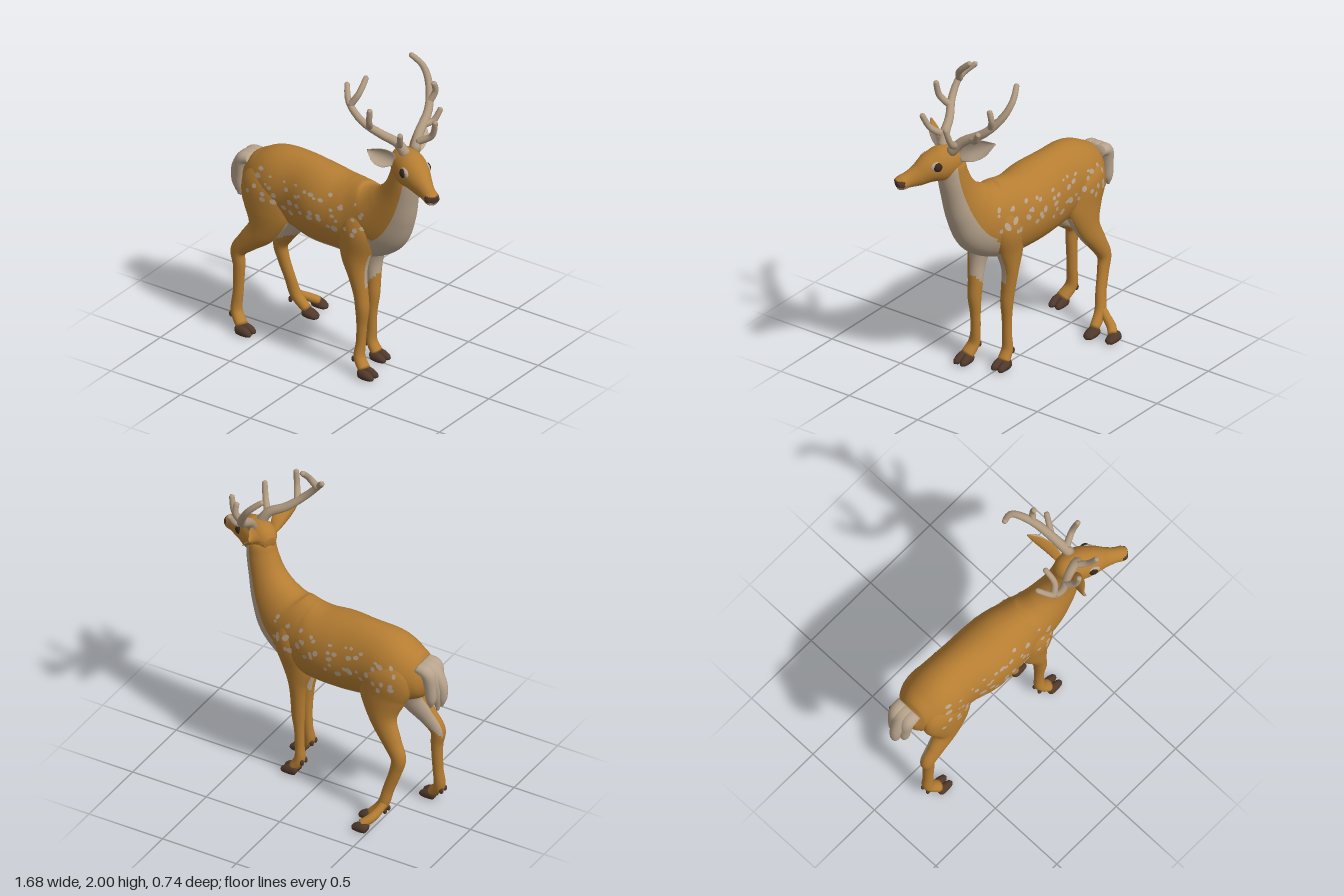
import * as THREE from 'three';

const V = (x, y, z) => new THREE.Vector3(x, y, z);
const mat = (name, color) => {
  const m = new THREE.MeshStandardMaterial({ color });
  m.name = name;
  return m;
};

export function createModel() {
  const model = new THREE.Group();
  model.name = 'deer';
  const tan = mat('tan coat', 0xb57d32);
  const cream = mat('cream fur', 0xb8a48d);
  const dark = mat('dark hoof and nose', 0x50392b);
  const antlerMat = mat('antler', 0xb09a80);
  const eyeMat = mat('eye', 0x35271b);
  const coat = [tan, cream, dark];

  // Smooth loft through sections [x, y, z, radius across, radius sideways].
  // paint(c, s, p) gives the colour index of a face from its place on the section.
  function loft(name, pts, material, { rings = 24, sides = 16, ref = V(0, 0, 1), cup = 0, paint } = {}) {
    const path = new THREE.CatmullRomCurve3(pts.map(p => V(p[0], p[1], p[2])));
    const size = new THREE.CatmullRomCurve3(pts.map(p => V(p[3], p[4], 0)), false, 'catmullrom', 0.5);
    const pos = [], faces = [[], [], []];
    for (let i = 0; i <= rings; i++) {
      const t = i / rings, c = path.getPoint(t), r = size.getPoint(t), T = path.getTangent(t);
      const S = ref.clone().addScaledVector(T, -ref.dot(T)).normalize();
      const N = S.clone().cross(T);
      for (let j = 0; j < sides; j++) {
        const a = (j / sides) * Math.PI * 2, k = Math.cos(a);
        const p = c.clone().addScaledVector(N, k * r.x)
          .addScaledVector(S, Math.sin(a) * r.y + cup * k * k * r.x);
        pos.push(p.x, Math.max(p.y, 0), p.z);
      }
    }
    const at = i => V(pos[3 * i], pos[3 * i + 1], pos[3 * i + 2]);
    for (let i = 0; i < rings; i++) for (let j = 0; j < sides; j++) {
      const j1 = (j + 1) % sides, a = i * sides + j, b = i * sides + j1, c = b + sides, d = a + sides;
      const ang = ((j + 0.5) / sides) * Math.PI * 2;
      const k = paint ? paint(Math.cos(ang), Math.sin(ang), at(a).add(at(c)).multiplyScalar(0.5)) : 0;
      faces[k].push(a, b, d, b, c, d);
    }
    // closed ends
    const n = pos.length / 3, last = rings * sides, p0 = path.getPoint(0), p1 = path.getPoint(1);
    pos.push(p0.x, p0.y, p0.z, p1.x, p1.y, p1.z);
    const endK = paint ? paint(0, 0, p1) : 0;
    for (let j = 0; j < sides; j++) {
      const j1 = (j + 1) % sides;
      faces[0].push(n, j1, j);
      faces[endK].push(n + 1, last + j, last + j1);
    }
    const g = new THREE.BufferGeometry();
    g.setAttribute('position', new THREE.Float32BufferAttribute(pos, 3));
    g.setIndex(faces.flat());
    let start = 0;
    faces.forEach((f, k) => { if (f.length) g.addGroup(start, f.length, k); start += f.length; });
    g.computeVertexNormals();
    const mesh = new THREE.Mesh(g, paint ? coat : material);
    mesh.name = name;
    model.add(mesh);
    return mesh;
  }

  // Body and neck, with pale belly, chest and throat
  const body = loft('bodyAndNeck', [
    [-0.725, 0.99, 0, 0.07, 0.055], [-0.68, 0.985, 0, 0.14, 0.11], [-0.6, 0.985, 0, 0.185, 0.155],
    [-0.48, 0.99, 0.005, 0.23, 0.178], [-0.32, 0.985, 0.01, 0.245, 0.175], [-0.15, 0.967, 0.03, 0.25, 0.195],
    [0, 0.958, 0.035, 0.242, 0.19], [0.13, 0.965, 0.05, 0.245, 0.172],
    [0.285, 1.025, 0.08, 0.222, 0.145], [0.385, 1.13, 0.1, 0.162, 0.12], [0.45, 1.25, 0.115, 0.115, 0.1],
    [0.488, 1.37, 0.125, 0.095, 0.09], [0.5, 1.46, 0.13, 0.08, 0.08], [0.5, 1.52, 0.13, 0.03, 0.03],
  ], tan, {
    rings: 110, sides: 72,
    paint: (c, s, p) => (-c > THREE.MathUtils.lerp(0.76, 0.42, THREE.MathUtils.smoothstep(p.x, 0.1, 0.35)) && p.x > -0.5 ? 1 : 0),
  });

  // Head with pale jaw and dark nose
  loft('head', [
    [0.42, 1.47, 0.1, 0.04, 0.04], [0.47, 1.48, 0.125, 0.093, 0.082], [0.55, 1.465, 0.16, 0.113, 0.095],
    [0.62, 1.45, 0.195, 0.094, 0.085], [0.69, 1.42, 0.228, 0.07, 0.06], [0.75, 1.403, 0.26, 0.05, 0.046],
    [0.79, 1.393, 0.28, 0.044, 0.046], [0.813, 1.39, 0.29, 0.034, 0.036], [0.82, 1.388, 0.294, 0.015, 0.015],
  ], tan, {
    rings: 60, sides: 40,
    paint: (c, s, p) => (p.x + 0.5 * p.z > 0.922 && p.y > 1.38 && p.y < 1.418 ? 2 : p.y < 1.376 ? 1 : 0),
  });

  // Eyes on pale patches
  const ball = new THREE.SphereGeometry(1, 20, 14);
  for (const [side, s] of [['left', 1], ['right', -1]]) {
    for (const [part, m, r, out] of [['Eye', eyeMat, 0.029, 0.08], ['EyePatch', cream, 0.045, 0.072]]) {
      const e = new THREE.Mesh(ball, m);
      e.name = side + part;
      e.position.set(0.607 - s * 0.45 * out, 1.483, 0.19 + s * 0.89 * out);
      e.rotation.y = -0.47;
      e.scale.set(r, r * (part === 'Eye' ? 1 : 0.75), part === 'Eye' ? r * 0.7 : 0.018);
      model.add(e);
    }
  }

  // Cupped ears, pale inside
  const inner = (c, s) => (s > 0.1 ? 1 : 0);
  loft('leftEar', [[0.45, 1.5, 0.195, 0.025, 0.025], [0.43, 1.545, 0.25, 0.055, 0.018],
    [0.405, 1.592, 0.315, 0.05, 0.01], [0.385, 1.625, 0.36, 0.008, 0.004]], tan,
  { ref: V(0.8, 0, 0.6), cup: 0.65, paint: inner, sides: 24 });
  loft('rightEar', [[0.485, 1.5, 0.06, 0.025, 0.025], [0.465, 1.545, 0, 0.055, 0.018],
    [0.44, 1.592, -0.08, 0.05, 0.01], [0.425, 1.625, -0.135, 0.008, 0.004]], tan,
  { ref: V(1, 0, 0.35), cup: 0.8, paint: inner, sides: 24 });

  // Antlers: a beam and its tines, each tapering to a blunt tip
  const antler = (name, r, pts) => loft(name, pts.map((p, i) => {
    const w = THREE.MathUtils.lerp(r, 0.016, i / (pts.length - 1));
    return [...p, w, w];
  }).concat([[...pts.at(-1).map((v, k) => v + (v - pts.at(-2)[k]) * 0.1), 0.005, 0.005]]), antlerMat,
  { ref: V(1, 0, 1), rings: 24, sides: 12 });
  antler('leftAntlerBeam', 0.033, [[0.53, 1.55, 0.17], [0.48, 1.625, 0.19], [0.39, 1.67, 0.225], [0.29, 1.75, 0.28], [0.2, 1.85, 0.285], [0.14, 1.925, 0.22]]);
  antler('leftAntlerTine', 0.022, [[0.21, 1.835, 0.288], [0.25, 1.91, 0.255], [0.25, 1.985, 0.18]]);
  antler('leftAntlerTine', 0.022, [[0.33, 1.715, 0.26], [0.365, 1.78, 0.315], [0.38, 1.87, 0.33]]);
  antler('leftAntlerBrowTine', 0.022, [[0.49, 1.615, 0.19], [0.54, 1.66, 0.25], [0.57, 1.745, 0.29]]);
  antler('rightAntlerBeam', 0.033, [[0.54, 1.55, 0.1], [0.52, 1.63, 0.03], [0.49, 1.72, -0.11], [0.43, 1.83, -0.2], [0.37, 1.92, -0.225], [0.3, 1.985, -0.2]]);
  antler('rightAntlerTine', 0.021, [[0.475, 1.75, -0.14], [0.5, 1.82, -0.165], [0.5, 1.88, -0.15]]);
  antler('rightAntlerTine', 0.021, [[0.51, 1.66, -0.02], [0.55, 1.68, -0.08], [0.57, 1.745, -0.12]]);
  antler('rightAntlerBrowTine', 0.022, [[0.54, 1.6, 0.07], [0.62, 1.65, 0.04], [0.655, 1.755, 0.055]]);

  // Legs, pale on the upper inner side (out = outward direction along z)
  const leg = (name, out, pts) => loft(name, pts, tan, {
    rings: 64, sides: 28,
    paint: (c, s, p) => (-out * s + 0.35 * c > 0.2 && p.y > 0.53 + 0.05 * c && p.y < 0.8 ? 1 : 0),
  });
  const frontLeft = leg('leftFrontLeg', 1, [
    [0.21, 1.12, 0.135, 0.06, 0.04], [0.19, 0.96, 0.155, 0.12, 0.09], [0.165, 0.78, 0.168, 0.1, 0.07],
    [0.185, 0.65, 0.177, 0.06, 0.054], [0.205, 0.53, 0.172, 0.045, 0.046], [0.215, 0.43, 0.172, 0.042, 0.041],
    [0.21, 0.32, 0.17, 0.032, 0.032], [0.205, 0.2, 0.172, 0.03, 0.03], [0.205, 0.11, 0.185, 0.034, 0.037], [0.25, 0.05, 0.2, 0.032, 0.042]]);
  const frontRight = leg('rightFrontLeg', -1, [
    [0.2, 1.12, -0.01, 0.06, 0.04], [0.18, 0.96, -0.037, 0.12, 0.085], [0.15, 0.78, -0.037, 0.1, 0.067],
    [0.15, 0.65, -0.04, 0.056, 0.05], [0.155, 0.53, -0.03, 0.044, 0.043], [0.158, 0.43, -0.022, 0.041, 0.038],
    [0.153, 0.32, -0.018, 0.031, 0.031], [0.15, 0.2, -0.018, 0.029, 0.029], [0.15, 0.11, -0.018, 0.033, 0.035], [0.185, 0.05, -0.018, 0.032, 0.04]]);
  const hindLeft = leg('leftHindLeg', 1, [
    [-0.5, 1.13, 0.09, 0.06, 0.03], [-0.515, 1, 0.105, 0.17, 0.08], [-0.5, 0.85, 0.118, 0.165, 0.082],
    [-0.53, 0.71, 0.13, 0.1, 0.064], [-0.62, 0.61, 0.138, 0.068, 0.05], [-0.695, 0.52, 0.14, 0.049, 0.042],
    [-0.69, 0.42, 0.14, 0.038, 0.034], [-0.695, 0.25, 0.142, 0.033, 0.031], [-0.7, 0.12, 0.15, 0.035, 0.037], [-0.645, 0.05, 0.175, 0.032, 0.042]]);
  const hindRight = leg('rightHindLeg', -1, [
    [-0.48, 1.13, -0.08, 0.06, 0.03], [-0.495, 1, -0.1, 0.165, 0.085], [-0.47, 0.84, -0.108, 0.155, 0.078],
    [-0.485, 0.69, -0.13, 0.092, 0.058], [-0.555, 0.56, -0.15, 0.062, 0.048], [-0.605, 0.46, -0.16, 0.048, 0.04],
    [-0.59, 0.37, -0.165, 0.039, 0.034], [-0.55, 0.24, -0.178, 0.035, 0.031], [-0.52, 0.13, -0.195, 0.035, 0.034], [-0.45, 0.05, -0.205, 0.03, 0.03]]);
  loft('splayedToe', [[-0.535, 0.15, -0.195, 0.025, 0.025], [-0.52, 0.11, -0.24, 0.025, 0.027],
    [-0.495, 0.075, -0.295, 0.027, 0.029], [-0.455, 0.048, -0.335, 0.026, 0.028]], tan, { ref: V(1, 0, 0.3) });

  // Cloven hooves and dewclaws
  const hoof = (x, z, w = 0.024) => loft('hoof', [
    [x, 0.03, z, 0.012, 0.012], [x + 0.012, 0.032, z, 0.03, w], [x + 0.055, 0.028, z, 0.031, w + 0.002],
    [x + 0.095, 0.018, z, 0.018, w * 0.8], [x + 0.107, 0.013, z, 0.006, 0.008]], dark);
  for (const [x, z] of [[0.225, 0.205], [0.155, -0.018], [-0.67, 0.18]]) {
    hoof(x, z + 0.024);
    hoof(x, z - 0.024);
  }
  hoof(-0.475, -0.205, 0.036);
  hoof(-0.505, -0.34, 0.034);
  for (const [x, z] of [[0.172, 0.185], [0.118, -0.018], [-0.73, 0.15], [-0.55, -0.195]]) {
    for (const s of [-1, 1]) {
      const d = new THREE.Mesh(ball, dark);
      d.name = 'dewclaw';
      d.scale.set(0.014, 0.02, 0.012);
      d.position.set(x + 0.005, 0.1, z + s * 0.02);
      model.add(d);
    }
  }

  // Tail of overlapping tufts
  for (const [z, x, y, w] of [[-0.02, -0.79, 0.79, 0.045], [0.025, -0.77, 0.82, 0.033], [-0.065, -0.77, 0.83, 0.033], [-0.01, -0.812, 0.82, 0.035]]) {
    loft('tailTuft', [[-0.685, 1.085, z, 0.03, 0.045], [-0.745, 1.065, z, 0.042, w + 0.014],
      [x + 0.005, 0.97, z, 0.038, w + 0.003], [x, 0.88, z, 0.032, w * 0.85], [x, y, z, 0.008, 0.01]], cream);
  }

  // Pale spots laid on both flanks
  let seed = 7;
  const rand = () => (seed = (seed * 16807) % 2147483647) / 2147483647;
  const ray = new THREE.Raycaster();
  const flank = [body, frontLeft, frontRight, hindLeft, hindRight];
  const disc = new THREE.CircleGeometry(1, 8);
  for (const s of [1, -1]) for (const [y0, count, r0] of [[0.945, 13, 0.012], [0.99, 11, 0.011], [1.055, 12, 0.009], [1.1, 10, 0.006]]) {
    for (let i = 0; i < count; i++) {
      const x = -0.6 + ((i + rand() * 0.9) / count) * 0.9, y = y0 + (rand() - 0.5) * 0.05;
      ray.set(V(x, y, s), V(0, 0, -s));
      const hit = ray.intersectObjects(flank)[0];
      if (!hit) continue;
      const spot = new THREE.Mesh(disc, cream), r = r0 + rand() * 0.008;
      spot.name = 'spot';
      spot.scale.set(r * (1 + rand() * 0.6), r, 1);
      spot.quaternion.setFromUnitVectors(V(0, 0, 1), hit.face.normal);
      spot.position.copy(hit.point).addScaledVector(hit.face.normal, 0.003);
      model.add(spot);
    }
  }
  return model;
}
